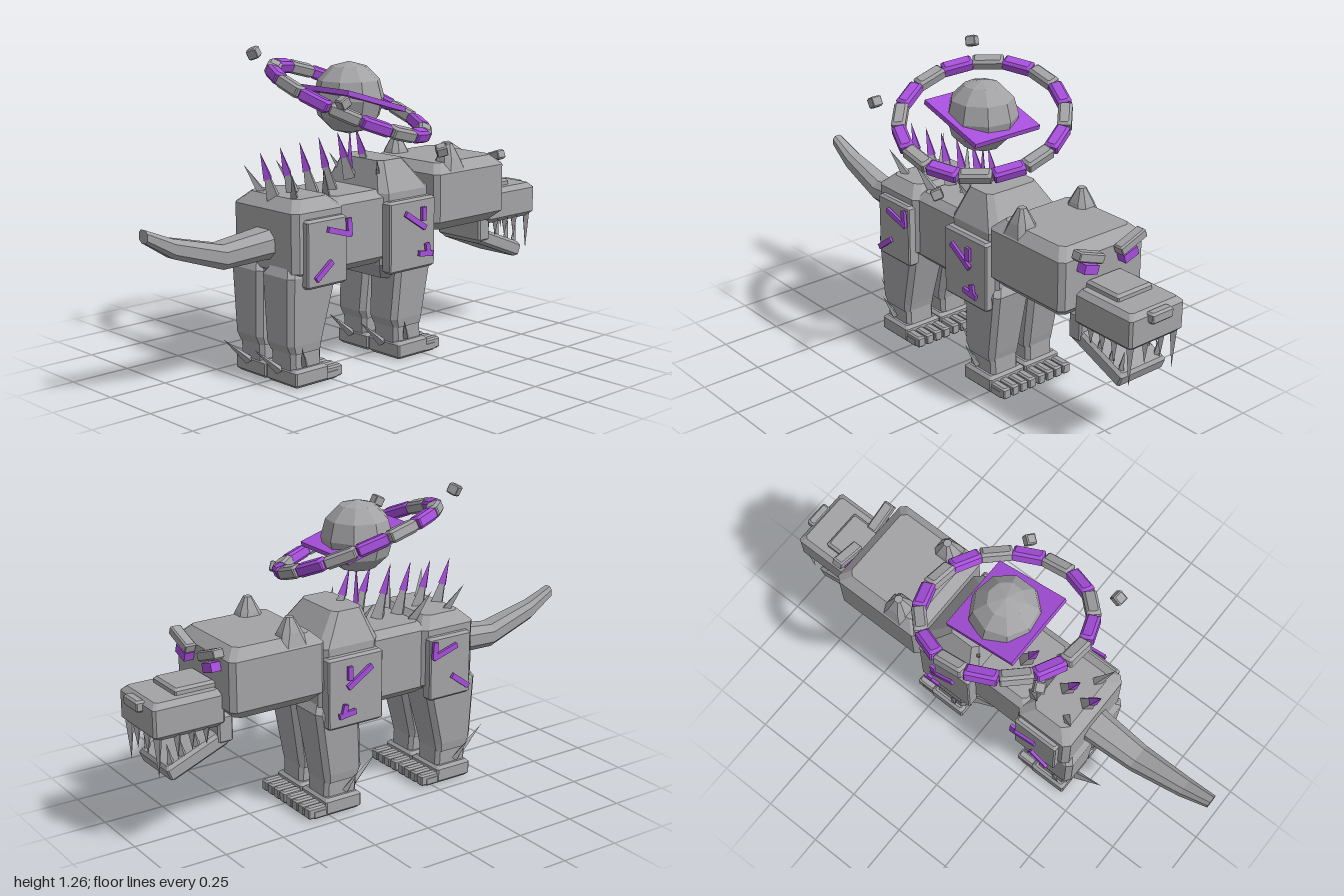
import * as THREE from 'three';

const stone = new THREE.MeshStandardMaterial({ color: 0xa3a2a5 });
stone.name = 'grey stone';
const violet = new THREE.MeshStandardMaterial({ color: 0xa64fdb });
violet.name = 'violet';

// Faceted normals for any geometry
function facet(geo) {
  const g = geo.index ? geo.toNonIndexed() : geo;
  g.computeVertexNormals();
  return g;
}

// Stack of corner-cut rectangles: [y, width, depth, z offset, corner cut, x offset]
function loft(sections) {
  const rings = sections.map(([y, w, d, oz = 0, c = 0.01, ox = 0]) => {
    const a = w / 2, b = d / 2;
    return [[a, -b + c], [a, b - c], [a - c, b], [-a + c, b], [-a, b - c], [-a, -b + c], [-a + c, -b], [a - c, -b]]
      .map(([x, z]) => new THREE.Vector3(x + ox, y, z + oz));
  });
  const p = [];
  const tri = (...vs) => vs.forEach(v => p.push(v.x, v.y, v.z));
  for (let s = 0; s < rings.length - 1; s++) {
    for (let i = 0; i < 8; i++) {
      const j = (i + 1) % 8, lo = rings[s], hi = rings[s + 1];
      tri(lo[i], hi[i], hi[j]);
      tri(lo[i], hi[j], lo[j]);
    }
  }
  const lo = rings[0], hi = rings[rings.length - 1];
  for (let i = 1; i < 7; i++) {
    tri(lo[0], lo[i], lo[i + 1]);
    tri(hi[0], hi[i + 1], hi[i]);
  }
  const g = new THREE.BufferGeometry();
  g.setAttribute('position', new THREE.Float32BufferAttribute(p, 3));
  return facet(g);
}

// Box with bevelled edges, centred on the origin
function bevelBox(w, h, d, c) {
  return loft([
    [-h / 2, w - 2 * c, d - 2 * c, 0, c * 0.5], [-h / 2 + c, w, d, 0, c * 0.5],
    [h / 2 - c, w, d, 0, c * 0.5], [h / 2, w - 2 * c, d - 2 * c, 0, c * 0.5]]);
}

export function createModel() {
  const root = new THREE.Group();
  root.name = 'stoneBeast';
  const beast = new THREE.Group();
  beast.name = 'beast';
  beast.position.x = -0.02;
  root.add(beast);

  const add = (name, geo, mat = stone, pos = [0, 0, 0], parent = beast) => {
    const m = new THREE.Mesh(geo, mat);
    m.name = name;
    m.position.set(...pos);
    parent.add(m);
    return m;
  };
  // Bevelled box given by its limits in y and z
  const block = (name, w, y0, y1, z0, z1, c, mat = stone, x = 0) =>
    add(name, bevelBox(w, y1 - y0, z1 - z0, c), mat, [x, (y0 + y1) / 2, (z0 + z1) / 2]);
  // Spike from a base point to a tip
  const spike = (name, base, tip, r, mat = stone, sides = 4) => {
    const a = new THREE.Vector3(...base), b = new THREE.Vector3(...tip), dir = b.clone().sub(a);
    const len = dir.length();
    const m = add(name, facet(new THREE.ConeGeometry(r, len, sides).translate(0, len / 2, 0)), mat, base);
    m.quaternion.setFromUnitVectors(new THREE.Vector3(0, 1, 0), dir.normalize());
    return m;
  };

  // Trunk
  block('rump', 0.37, 0.40, 0.72, 0.19, 0.445, 0.045);
  block('belly', 0.33, 0.41, 0.705, -0.06, 0.23, 0.03);
  add('chest', loft([
    [0.335, 0.26, 0.18, -0.16, 0.02], [0.40, 0.36, 0.26, -0.155, 0.03],
    [0.69, 0.36, 0.27, -0.15, 0.03], [0.81, 0.24, 0.135, -0.122, 0.02]]));

  // Tail
  const tail = loft([
    [0.40, 0.14, 0.13, -0.54, 0.03], [0.46, 0.135, 0.11, -0.54, 0.03], [0.66, 0.11, 0.095, -0.525, 0.025],
    [0.88, 0.075, 0.075, -0.59, 0.018], [0.995, 0.05, 0.05, -0.65, 0.012]]);
  add('tail', facet(tail.rotateX(Math.PI / 2)));

  // Head
  block('skull', 0.42, 0.50, 0.775, -0.695, -0.285, 0.04);
  block('snout', 0.27, 0.465, 0.61, -0.975, -0.68, 0.02);
  block('snoutRidge', 0.175, 0.60, 0.635, -0.86, -0.69, 0.01);
  block('nose', 0.105, 0.56, 0.605, -1.0, -0.96, 0.008);
  block('jawHinge', 0.24, 0.385, 0.51, -0.705, -0.64, 0.015);
  const jaw = add('jaw', bevelBox(0.23, 0.065, 0.27, 0.012), stone, [0, 0.365, -0.785]);
  jaw.rotation.x = -0.38;

  for (const s of [-1, 1]) {
    // Ears, brows and eyes
    add('ear', loft([[0.74, 0.11, 0.12, -0.41, 0.02], [0.79, 0.08, 0.085, -0.41, 0.02],
      [0.845, 0.03, 0.03, -0.41, 0.008]]), stone, [s * 0.15, 0, 0]);
    const brow = add('brow', bevelBox(0.13, 0.04, 0.045, 0.006), stone, [s * 0.105, 0.745, -0.72]);
    brow.rotation.z = s * 0.35;
    const eye = add('eye', facet(new THREE.BoxGeometry(0.07, 0.035, 0.04)), violet, [s * 0.1, 0.695, -0.715]);
    eye.rotation.z = s * 0.3;

    // Teeth
    [[-0.75, 0.07], [-0.81, 0.08], [-0.87, 0.1], [-0.95, 0.16]].forEach(([z, len]) =>
      spike('upperTooth', [s * 0.11, 0.475, z], [s * 0.11, 0.475 - len, z], 0.018));
    spike('frontTooth', [s * 0.04, 0.475, -0.955], [s * 0.04, 0.385, -0.955], 0.016);
    [[-0.78, 0.39], [-0.84, 0.365], [-0.89, 0.345]].forEach(([z, y]) =>
      spike('lowerTooth', [s * 0.09, y, z], [s * 0.09, y + 0.09, z - 0.015], 0.016));

    // Hip and shoulder plates
    block('hipPlate', 0.05, 0.385, 0.65, 0.205, 0.405, 0.01, stone, s * 0.185);
    block('shoulderPlate', 0.05, 0.37, 0.66, -0.275, -0.025, 0.01, stone, s * 0.185);

    // Floating rune strokes: z and y of both ends
    for (const [z1, y1, z2, y2] of [
      [0.32, 0.61, 0.205, 0.575], [0.215, 0.64, 0.21, 0.57], [0.38, 0.425, 0.30, 0.485],
      [-0.09, 0.61, -0.2, 0.54], [-0.19, 0.625, -0.19, 0.57], [-0.165, 0.44, -0.24, 0.43], [-0.21, 0.475, -0.22, 0.43]]) {
      const stroke = add('rune', facet(new THREE.BoxGeometry(0.012, 0.022, Math.hypot(z2 - z1, y2 - y1))),
        violet, [s * 0.229, (y1 + y2) / 2, (z1 + z2) / 2]);
      stroke.rotation.x = -Math.atan2(y1 - y2, z1 - z2);
    }

    // Legs, with feet, toes and spurs
    for (const [name, z] of [['hind', 0.32], ['front', -0.225]]) {
      const x = s * 0.091;
      const long = name === 'hind' ? 0.25 : 0.2;
      add(name + 'Leg', loft([
        [0.13, 0.145, 0.15, z + 0.045, 0.015], [0.165, 0.155, 0.175, z + 0.05, 0.02],
        [0.43, 0.18, long, z + 0.02, 0.02], [0.47, 0.13, long - 0.05, z + 0.02, 0.02]]), stone, [x, 0, 0]);
      add(name + 'Ankle', loft([[0.05, 0.135, 0.15, z + 0.04, 0.015], [0.16, 0.135, 0.15, z + 0.045, 0.015]]),
        stone, [x, 0, 0]);
      block(name + 'Foot', 0.178, 0, 0.072, z - 0.045, z + 0.12, 0.012, stone, x);
      block(name + 'Sole', 0.17, 0, 0.04, z - 0.1, z, 0.008, stone, x);
      for (let i = 0; i < 4; i++) {
        block('toe', 0.036, 0.004, 0.052, z - 0.122, z - 0.04, 0.007, stone, x + (i - 1.5) * 0.044);
      }
      spike('heelSpur', [x, 0.06, z + 0.13], [x, 0.165, z + 0.25], 0.018);
      spike('sideSpur', [x + s * 0.065, 0.08, z + 0.06], [x + s * 0.1, 0.165, z + 0.1], 0.015);
    }

    // Outer back spikes
    for (const z of [0.36, 0.2, -0.08]) {
      spike('outerSpike', [s * 0.085, 0.69, z], [s * 0.14, 0.82, z + 0.06], 0.024);
    }
  }

  // Spine spikes with violet tips
  for (let i = 0; i < 6; i++) {
    const z = 0.39 - i * 0.098, y = i > 3 ? 0.74 : 0.7, tipY = 0.89 + i * 0.009;
    const at = t => [0, y + (tipY - y) * t, z + 0.065 * t];
    spike('spineSpike', at(0), at(0.85), 0.034);
    spike('spineTip', at(0.45), at(1), 0.021, violet);
  }
  spike('topSpike', [0, 0.75, -0.005], [0, 0.945, -0.005], 0.018, violet);

  // Orb and its tilted square plate
  add('orb', facet(new THREE.SphereGeometry(0.143, 9, 6)), stone, [0, 1.055, 0]);
  const plate = add('orbPlate', facet(new THREE.BoxGeometry(0.322, 0.02, 0.322)), violet, [0, 1.055, 0]);
  plate.rotation.x = -0.29;

  // Tilted ring of alternating links
  const ring = new THREE.Group();
  ring.name = 'ring';
  ring.position.set(0, 1.045, 0);
  ring.quaternion.setFromUnitVectors(new THREE.Vector3(0, 1, 0), new THREE.Vector3(0.33, 1, -0.27).normalize());
  beast.add(ring);
  const link = bevelBox(0.055, 0.05, 0.125, 0.01);
  for (let i = 0; i < 16; i++) {
    const a = i * Math.PI / 8;
    add('ringLink', link, i % 2 ? violet : stone, [Math.cos(a) * 0.32, 0, Math.sin(a) * 0.32], ring)
      .rotation.y = -a;
  }

  // Drifting fragments
  [[-0.205, 1.235, 0.31], [0.29, 1.09, 0.3], [0.35, 0.87, -0.16]].forEach((p, i) =>
    add('fragment', bevelBox(0.042, 0.042, 0.042, 0.005), stone, p).rotation.set(0.3, 0.5 + i, 0.2));

  return root;
}
